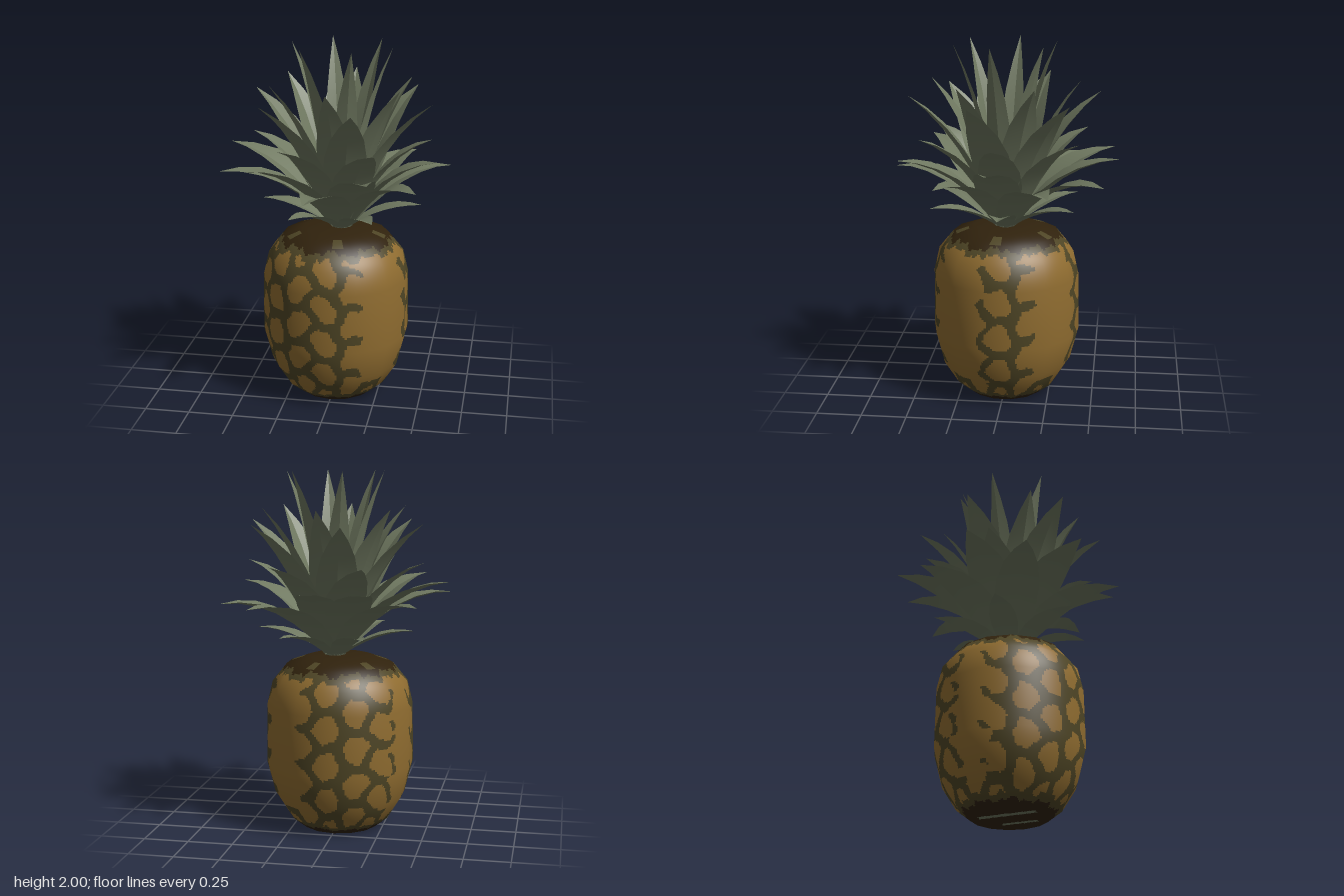
import * as THREE from 'three';

const mat = (name, color, side = THREE.FrontSide) => {
  const m = new THREE.MeshStandardMaterial({ color, side });
  m.name = name;
  return m;
};

// Fruit outline: [radius, height] from the centre of the base to the centre of the top
const PROFILE = [[0, 0], [0.21, 0], [0.285, 0.06], [0.365, 0.19], [0.41, 0.37], [0.405, 0.7],
  [0.375, 0.83], [0.295, 0.93], [0.17, 0.975], [0, 0.975]];
const SIDES = 14, STEPS = 16;
const COLUMNS = 16, CELL_HEIGHT = 0.2;
const TAU = Math.PI * 2;

// Smooth areas of the rind: [angle from the front, half width] in degrees
const BARE = [[51, 23], [137, 20], [249, 12]];

// Chooses rind 0, net 1, dark ends 2 or leaf green streak 3 for a place on the skin
function skin(theta, y, r) {
  if (y < 0.001) {
    const x = r * Math.sin(theta), z = r * Math.cos(theta), line = x + 0.2 * z;
    const long = Math.abs(line + 0.07) < 0.02 && Math.abs(z) < 0.16;
    const short = Math.abs(line - 0.09) < 0.016 && Math.abs(z - 0.04) < 0.1;
    return long || short ? 3 : 2;
  }
  const wobble = 0.5 * Math.sin(theta * 9 + 1) + 0.35 * Math.sin(theta * 23) + 0.25 * Math.sin(theta * 41 + 2);
  const patch = y > 0.935 && y < 0.96 && Math.sin(theta * 5 + 0.6) > 0.86;
  if (patch) return 1;
  if (y > 0.912 + 0.022 * wobble || y < 0.03 + 0.012 * wobble) return 2;
  if (y > 0.88 + 0.022 * wobble || y < 0.06 + 0.02 * wobble) return 1;

  let gap = 0.053 + 0.008 * Math.sin(theta * 17 + y * 29);
  const ragged = 0.07 * Math.sin(y * 34) + 0.04 * Math.sin(y * 71);
  for (const [angle, half] of BARE) {
    const c = THREE.MathUtils.degToRad(angle), h = THREE.MathUtils.degToRad(half);
    const off = Math.abs(theta - c) - h + ragged;
    if (y > 0.15 && y < 0.89) gap *= THREE.MathUtils.clamp(off / 0.07, 0, 1);
  }

  // Staggered honeycomb cells: the net lies where two centres are almost equally near
  const px = theta + 0.03 * Math.sin(y * 31), py = y + 0.012 * Math.sin(theta * 11);
  const k0 = Math.round(px / TAU * COLUMNS);
  let d1 = 9, d2 = 9;
  for (let k = k0 - 1; k <= k0 + 1; k++) {
    const start = 0.03 + (Math.abs(k) % 2) * CELL_HEIGHT / 2;
    const j0 = Math.round((py - start) / CELL_HEIGHT);
    for (let j = j0 - 1; j <= j0 + 1; j++) {
      const d = Math.hypot((px - k * TAU / COLUMNS) * 0.41, py - start - j * CELL_HEIGHT);
      if (d < d1) { d2 = d1; d1 = d; } else if (d < d2) d2 = d;
    }
  }
  return d2 - d1 < gap ? 1 : 0;
}

// Faceted fruit with smooth normals; each small patch gets its colour by the rule above
function fruitGeometry() {
  const normals = PROFILE.map((p, i) => {
    const a = PROFILE[Math.max(i - 1, 0)], b = PROFILE[Math.min(i + 1, PROFILE.length - 1)];
    return new THREE.Vector2(b[1] - a[1], a[0] - b[0]).normalize();
  });
  const rows = [];
  for (let i = 0; i < PROFILE.length - 1; i++) {
    const [r0, y0] = PROFILE[i], [r1, y1] = PROFILE[i + 1];
    const n = Math.ceil(Math.hypot(r1 - r0, y1 - y0) / 0.012);
    for (let s = 0; s < n + (i === PROFILE.length - 2 ? 1 : 0); s++) {
      const t = s / n;
      rows.push({
        r: r0 + (r1 - r0) * t, y: y0 + (y1 - y0) * t,
        n: normals[i].clone().lerp(normals[i + 1], t).normalize(),
      });
    }
  }
  const around = SIDES * STEPS, half = Math.PI / SIDES;
  const pos = [], nor = [], lists = [[], [], [], []];
  for (const row of rows) {
    for (let k = 0; k <= around; k++) {
      const a = k / around * TAU;
      const local = (a % (2 * half)) - half;
      const r = row.r * Math.cos(half) / Math.cos(local) * 1.012;
      pos.push(r * Math.sin(a), row.y, r * Math.cos(a));
      nor.push(row.n.x * Math.sin(a), row.n.y, row.n.x * Math.cos(a));
    }
  }
  for (let i = 0; i < rows.length - 1; i++) {
    for (let k = 0; k < around; k++) {
      const a = i * (around + 1) + k, b = a + 1, c = a + around + 1, d = c + 1;
      const which = skin((k + 0.5) / around * TAU, (rows[i].y + rows[i + 1].y) / 2, (rows[i].r + rows[i + 1].r) / 2);
      lists[which].push(a, b, d, a, d, c);
    }
  }
  const g = new THREE.BufferGeometry();
  g.setAttribute('position', new THREE.Float32BufferAttribute(pos, 3));
  g.setAttribute('normal', new THREE.Float32BufferAttribute(nor, 3));
  g.setIndex(lists.flat());
  let start = 0;
  lists.forEach((list, i) => { g.addGroup(start, list.length, i); start += list.length; });
  return g;
}

// Arched leaf pointing to +z: two strips meeting in a crease along the middle
const LEAF_WIDTH = [0.42, 0.8, 1, 0.98, 0.78, 0.42, 0];
function leafGeometry(reach, tipY, bend, lift, halfWidth) {
  const r0 = 0.045, y0 = 0.975, h = tipY - y0;
  const curve = new THREE.QuadraticBezierCurve(
    new THREE.Vector2(r0, y0),
    new THREE.Vector2(r0 + bend * (reach - r0), y0 + 0.62 * h + lift),
    new THREE.Vector2(reach, tipY));
  const pos = [], idx = [], last = LEAF_WIDTH.length - 1;
  for (const side of [-1, 1]) {
    const base = pos.length / 3;
    LEAF_WIDTH.forEach((f, i) => {
      const t = i / last, p = curve.getPoint(t), tan = curve.getTangent(t);
      const w = halfWidth * f, fold = w * 0.25;
      pos.push(0, p.y, p.x);
      pos.push(side * w, p.y + tan.x * fold, p.x - tan.y * fold);
      if (i === last) return;
      const a = base + i * 2;
      if (side > 0) idx.push(a, a + 2, a + 1, a + 1, a + 2, a + 3);
      else idx.push(a, a + 1, a + 2, a + 1, a + 3, a + 2);
    });
  }
  const g = new THREE.BufferGeometry();
  g.setAttribute('position', new THREE.Float32BufferAttribute(pos, 3));
  g.setIndex(idx.reverse());
  g.computeVertexNormals();
  return g;
}

// Six evenly spread leaves as [angle from the front, reach, tip height]
const ring = (start, reach, tip) => Array.from({ length: 6 }, (_, i) => [start + i * 60, reach, tip]);

// Leaf rings from the bottom up
const RINGS = [
  { name: 'lowestLeaf', bend: 0.5, lift: 0.055, width: 0.075, leaves: ring(30, 0.45, 1.12) },
  { name: 'lowerLeaf', bend: 0.46, lift: 0.145, width: 0.12, leaves: [[-9, 0.64, 1.28], [53, 0.56, 1.28],
    [115, 0.65, 1.28], [147, 0.66, 1.29], [-128, 0.65, 1.3], [-72, 0.67, 1.32]] },
  { name: 'outerLeaf', bend: 0.45, lift: 0.12, width: 0.125, leaves: [[21, 0.61, 1.38], [84, 0.54, 1.38],
    [175, 0.63, 1.38], [-155, 0.66, 1.38], [-100, 0.66, 1.41], [-44, 0.66, 1.4]] },
  { name: 'middleLeaf', bend: 0.42, lift: 0.1, width: 0.115, leaves: ring(27, 0.5, 1.5) },
  { name: 'upperLeaf', bend: 0.4, lift: 0.06, width: 0.115, leaves: ring(14, 0.53, 1.72) },
  { name: 'innerLeaf', bend: 0.38, lift: 0.03, width: 0.1, leaves: ring(-3, 0.41, 1.8) },
  { name: 'topLeaf', bend: 0.32, lift: 0, width: 0.065, leaves: ring(19, 0.29, 2) },
];

export function createModel() {
  const model = new THREE.Group();
  model.name = 'pineapple';
  const rind = mat('golden rind', 0x8f6c30);
  const net = mat('olive net', 0x4e4525);
  const ends = mat('dark brown ends', 0x30220d);
  const leaf = mat('leaf green', 0x6f7860, THREE.DoubleSide);

  const fruit = new THREE.Mesh(fruitGeometry(), [rind, net, ends, leaf]);
  fruit.name = 'fruit';
  model.add(fruit);

  const crown = new THREE.Group();
  crown.name = 'crown';
  crown.position.x = 0.03;
  for (const { name, bend, lift, width, leaves } of RINGS) {
    for (const [angle, reach, tip] of leaves) {
      const mesh = new THREE.Mesh(leafGeometry(reach, tip, bend, lift, width), leaf);
      mesh.name = name;
      mesh.rotation.y = THREE.MathUtils.degToRad(angle);
      crown.add(mesh);
    }
  }
  model.add(crown);
  return model;
}
